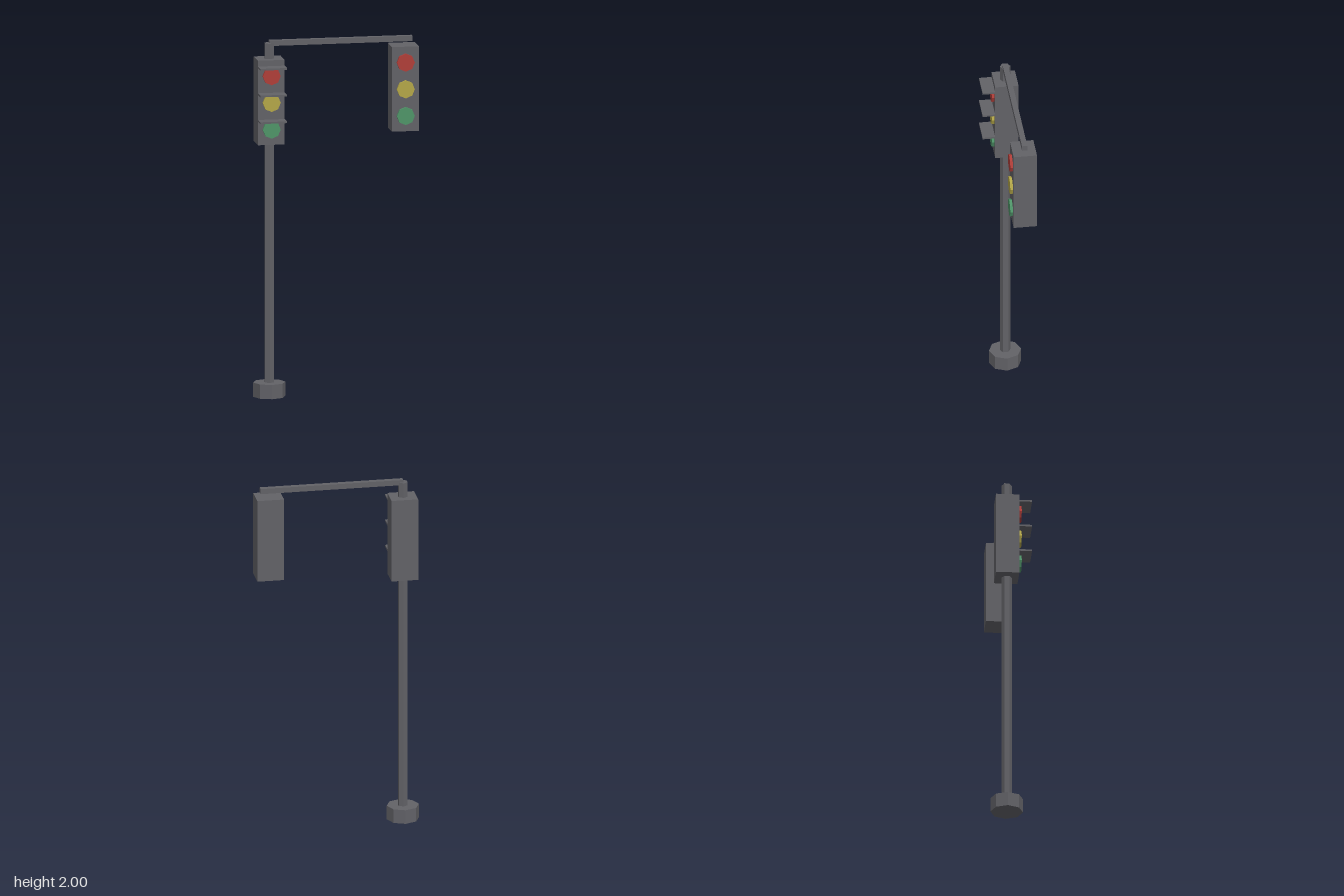
import * as THREE from 'three';

export function createModel() {
  const root = new THREE.Group();
  root.name = 'trafficLight';

  const material = (name, color) => {
    const m = new THREE.MeshStandardMaterial({ color, flatShading: true });
    m.name = name;
    return m;
  };
  const grey = material('darkGrey', 0x626267);
  const lampColours = [
    ['red', material('red', 0xb03e39)],
    ['yellow', material('yellow', 0xb3a648)],
    ['green', material('green', 0x4f9468)],
  ];

  const add = (parent, name, geometry, mat, x, y, z) => {
    const mesh = new THREE.Mesh(geometry, mat);
    mesh.name = name;
    mesh.position.set(x, y, z);
    parent.add(mesh);
    return mesh;
  };

  const poleX = -0.37, axisZ = -0.025;

  // Octagonal foot, hexagonal pole and square arm
  add(root, 'base', new THREE.CylinderGeometry(0.09, 0.09, 0.08, 8), grey, poleX, 0.04, axisZ);
  add(root, 'pole', new THREE.CylinderGeometry(0.029, 0.029, 1.91, 6), grey, poleX, 1.03, axisZ);
  add(root, 'arm', new THREE.BoxGeometry(0.8, 0.03, 0.03), grey, 0.03, 1.985, axisZ);

  const lampGeometry = new THREE.CylinderGeometry(0.05, 0.05, 0.015, 8).rotateX(Math.PI / 2);
  const visorGeometry = new THREE.BoxGeometry(0.15, 0.01, 0.07);

  // Signal head: housing, three lamps and optional visors
  function signalHead(name, x, y, hasVisors) {
    const head = new THREE.Group();
    head.name = name;
    head.position.set(x, y, axisZ);
    add(head, 'housing', new THREE.BoxGeometry(0.15, 0.475, 0.13), grey, 0, 0, 0);
    lampColours.forEach(([colour, mat], i) => {
      const lampY = 0.15 * (1 - i);
      add(head, colour + 'Lamp', lampGeometry, mat, 0, lampY, 0.0725);
      if (hasVisors) add(head, 'visor', visorGeometry, grey, 0, lampY + 0.05, 0.1);
    });
    root.add(head);
  }
  signalHead('poleSignal', poleX, 1.662, true);
  signalHead('hangingSignal', 0.382, 1.712, false);

  return root;
}
